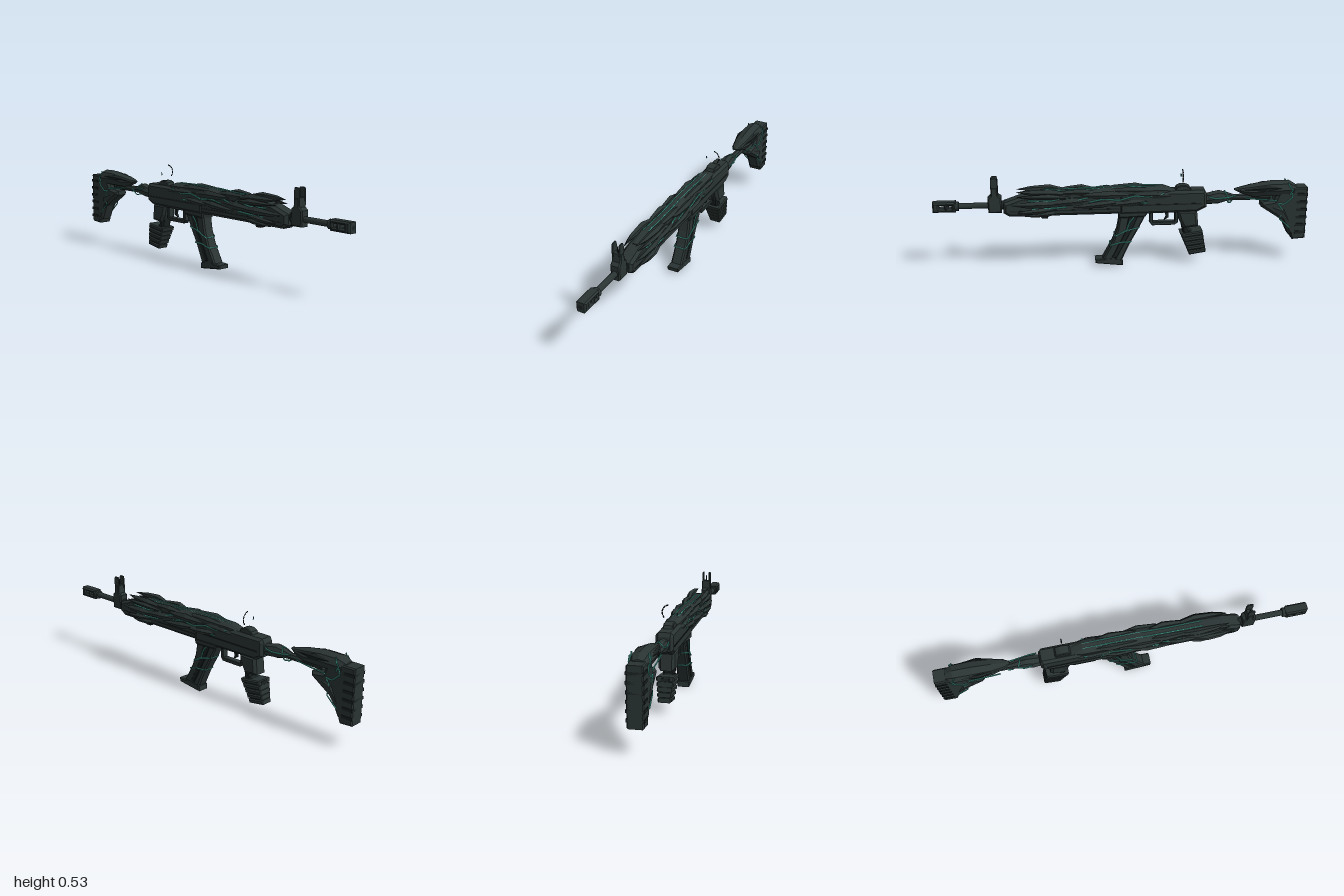
import * as THREE from 'three';

const mat = (name, color) => Object.assign(new THREE.MeshStandardMaterial({ color }), { name });

export function createModel() {
  const root = new THREE.Group();
  root.name = 'rifle';
  const body = mat('dark green grey', 0x2a3433);
  const dark = mat('near black', 0x1a2121);
  const teal = mat('glowing teal', 0x46a595);

  const add = (name, geo, m, x = 0, y = 0, z = 0) => {
    const mesh = new THREE.Mesh(geo, m);
    mesh.name = name;
    mesh.position.set(x, y, z);
    root.add(mesh);
    return mesh;
  };
  const box = (name, m, x0, x1, y0, y1, z0, z1) =>
    add(name, new THREE.BoxGeometry(x1 - x0, y1 - y0, z1 - z0), m, (x0 + x1) / 2, (y0 + y1) / 2, (z0 + z1) / 2);

  // side outline extruded across z, with chamfered edges
  const plate = (name, m, pts, halfZ, bevel = 0.008, holes = [], z = 0) => {
    const toV = p => new THREE.Vector2(p[0], p[1]);
    const shape = new THREE.Shape(pts.map(toV));
    holes.forEach(h => shape.holes.push(new THREE.Path(h.map(toV))));
    const geo = new THREE.ExtrudeGeometry(shape, {
      depth: 2 * (halfZ - bevel), bevelEnabled: true, bevelThickness: bevel,
      bevelSize: bevel, bevelOffset: -bevel, bevelSegments: 1,
    });
    return add(name, geo.translate(0, 0, bevel - halfZ), m, 0, 0, z);
  };

  // faceted loft along +x through sections [x, y, z, halfHeight, halfWidth]
  const loft = (name, m, secs, n = 6, turn = 0) => {
    const pos = [], idx = [];
    for (const [x, y, z, h, w] of secs)
      for (let k = 0; k < n; k++) {
        const a = (k / n) * Math.PI * 2 + turn;
        pos.push(x, y + h * Math.cos(a), z + w * Math.sin(a));
      }
    for (let i = 0; i < secs.length - 1; i++)
      for (let k = 0; k < n; k++) {
        const a = i * n + k, c = i * n + (k + 1) % n;
        idx.push(a, c, a + n, a + n, c, c + n);
      }
    const last = (secs.length - 1) * n;
    for (let k = 1; k < n - 1; k++) idx.push(0, k + 1, k, last, last + k, last + k + 1);
    let geo = new THREE.BufferGeometry();
    geo.setAttribute('position', new THREE.Float32BufferAttribute(pos, 3));
    geo.setIndex(idx);
    geo = geo.toNonIndexed();
    geo.computeVertexNormals();
    return add(name, geo, m);
  };

  // thin jagged glowing crack
  const vein = (pts, r = 0.004) => {
    const path = new THREE.CurvePath();
    const v = pts.map(p => new THREE.Vector3(...p));
    for (let i = 1; i < v.length; i++) path.add(new THREE.LineCurve3(v[i - 1], v[i]));
    add('glowVein', new THREE.TubeGeometry(path, v.length * 4, r, 4), teal);
  };
  const sideVeins = (pts, z) => [1, -1].forEach(s => vein(pts.map(([x, y]) => [x, y, s * z])));

  // leaf-shaped armour shard, mirrored to both sides
  const shard = (x0, y0, x1, y1, z, h, w) => [1, -1].forEach(s => {
    const mx = x0 + (x1 - x0) * 0.4, my = (y0 + y1) / 2 + 0.006;
    loft('armourShard', body, [
      [x0, y0, s * (z - 0.012), h * 0.35, w * 0.4], [mx, my, s * z, h, w],
      [x0 + (x1 - x0) * 0.75, my * 0.4 + y1 * 0.6, s * (z - 0.003), h * 0.65, w * 0.7],
      [x1, y1, s * (z - 0.012), 0.001, 0.001]], 5, s * 0.3);
  });

  // stock
  plate('buttPlate', body, [[-1, 0.13], [-0.93, 0.125], [-0.92, 0.15], [-0.92, 0.42], [-1, 0.42]], 0.04, 0.006);
  for (let i = 0; i < 6; i++) box('buttRib', dark, -1, -0.94, 0.16 + i * 0.043, 0.175 + i * 0.043, -0.043, 0.043);
  plate('stockLower', body, [[-0.94, 0.15], [-0.91, 0.15], [-0.87, 0.235], [-0.75, 0.315], [-0.75, 0.34],
    [-0.82, 0.35], [-0.84, 0.4], [-0.94, 0.41]], 0.04, 0.014);
  loft('stockShell', body, [[-0.94, 0.405, 0, 0.025, 0.035], [-0.9, 0.41, 0, 0.045, 0.05], [-0.8, 0.41, 0, 0.045, 0.052],
    [-0.7, 0.402, 0, 0.037, 0.045], [-0.64, 0.405, 0, 0.018, 0.03], [-0.605, 0.41, 0, 0.004, 0.01]], 8);
  [1, -1].forEach(s => {
    loft('stockScale', dark, [[-0.86, 0.42, s * 0.04, 0.006, 0.006], [-0.77, 0.42, s * 0.044, 0.018, 0.012],
      [-0.63, 0.408, s * 0.022, 0.003, 0.003]], 5);
    loft('stockScale', body, [[-0.91, 0.21, s * 0.03, 0.03, 0.01], [-0.87, 0.28, s * 0.036, 0.035, 0.014],
      [-0.77, 0.325, s * 0.03, 0.004, 0.004]], 5);
  });
  sideVeins([[-0.89, 0.45], [-0.92, 0.37], [-0.875, 0.33], [-0.84, 0.335], [-0.87, 0.29], [-0.85, 0.25], [-0.91, 0.195]], 0.041);
  sideVeins([[-0.895, 0.435], [-0.915, 0.41], [-0.9, 0.385]], 0.048);
  sideVeins([[-0.875, 0.33], [-0.82, 0.352], [-0.75, 0.358], [-0.66, 0.37]], 0.036);

  // neck between stock and receiver
  loft('bufferTube', body, [[-0.8, 0.365, 0, 0.018, 0.02], [-0.6, 0.365, 0, 0.018, 0.02], [-0.57, 0.37, 0, 0.024, 0.026],
    [-0.52, 0.37, 0, 0.038, 0.032], [-0.48, 0.365, 0, 0.035, 0.036], [-0.44, 0.36, 0, 0.03, 0.03]], 8);
  vein([[-0.62, 0.37, 0.022], [-0.6, 0.355, 0.02], [-0.59, 0.335, 0.008], [-0.57, 0.34, -0.016], [-0.56, 0.39, -0.022],
    [-0.55, 0.404, 0], [-0.565, 0.38, 0.026], [-0.53, 0.375, 0.034], [-0.49, 0.39, 0.034]]);
  vein([[-0.61, 0.38, -0.018], [-0.57, 0.372, -0.026], [-0.5, 0.37, -0.036], [-0.46, 0.38, -0.034]]);

  // receiver and handguard
  plate('receiver', body, [[-0.45, 0.325], [-0.4, 0.3], [0.02, 0.295], [0.02, 0.42], [-0.44, 0.42], [-0.45, 0.4]], 0.045, 0.014);
  box('receiverRail', dark, -0.42, 0.02, 0.345, 0.352, -0.047, 0.047);
  plate('handguard', body, [[0, 0.3], [0.6, 0.3], [0.63, 0.32], [0.63, 0.375], [0.53, 0.41], [0, 0.415]], 0.043, 0.014);
  box('handguardSeam', dark, 0.02, 0.6, 0.328, 0.334, -0.0445, 0.0445);
  plate('lowerNub', dark, [[0.39, 0.305], [0.45, 0.305], [0.43, 0.28], [0.4, 0.28]], 0.02, 0.004);
  loft('topCover', body, [[-0.28, 0.41, 0, 0.012, 0.03], [-0.22, 0.415, 0, 0.03, 0.043], [0.08, 0.415, 0, 0.031, 0.048],
    [0.2, 0.405, 0, 0.03, 0.045], [0.42, 0.405, 0, 0.03, 0.045], [0.52, 0.4, 0, 0.015, 0.03]], 8, Math.PI / 8);

  // layered shards sweeping forward
  [[-0.3, 0.39, -0.02, 0.405, 0.044, 0.02, 0.014], [-0.2, 0.42, 0.12, 0.43, 0.032, 0.02, 0.018],
    [-0.15, 0.37, 0.12, 0.35, 0.048, 0.016, 0.014], [-0.03, 0.405, 0.24, 0.41, 0.05, 0.024, 0.016],
    [0.0, 0.37, 0.28, 0.345, 0.05, 0.02, 0.016], [0.12, 0.42, 0.36, 0.425, 0.036, 0.02, 0.018],
    [0.18, 0.38, 0.44, 0.365, 0.048, 0.022, 0.016], [0.27, 0.415, 0.56, 0.432, 0.04, 0.022, 0.018],
    [0.28, 0.4, 0.56, 0.41, 0.053, 0.016, 0.015], [0.32, 0.365, 0.6, 0.365, 0.052, 0.022, 0.017],
    [0.36, 0.335, 0.57, 0.32, 0.05, 0.016, 0.014], [0.33, 0.315, 0.52, 0.3, 0.045, 0.014, 0.012],
  ].forEach(a => shard(...a));

  // cracks over the receiver
  sideVeins([[-0.22, 0.412], [-0.14, 0.395], [-0.06, 0.402], [0.02, 0.38], [0.1, 0.39], [0.18, 0.375]], 0.049);
  sideVeins([[-0.13, 0.36], [-0.08, 0.366], [-0.03, 0.356]], 0.046);
  sideVeins([[0.18, 0.4], [0.25, 0.385], [0.31, 0.402], [0.38, 0.385], [0.5, 0.39]], 0.046);
  sideVeins([[0.3, 0.35], [0.38, 0.345], [0.48, 0.342]], 0.045);
  sideVeins([[-0.22, 0.44], [-0.1, 0.443], [0, 0.442], [0.1, 0.441], [0.24, 0.432], [0.42, 0.432]], 0.014);

  // pistol grip with stacked ribs
  plate('gripTop', body, [[-0.4, 0.31], [-0.29, 0.31], [-0.305, 0.25], [-0.33, 0.205], [-0.41, 0.215]], 0.042, 0.014);
  plate('gripCore', dark, [[-0.35, 0.24], [-0.315, 0.24], [-0.33, 0.17], [-0.365, 0.07], [-0.44, 0.075], [-0.435, 0.185], [-0.345, 0.185]], 0.032, 0.01);
  for (let i = 0; i < 5; i++) {
    const y = 0.188 - i * 0.026, x = -0.312 - i * 0.011, b = -0.432 - i * 0.005;
    plate('gripRib', body, [[b, y + 0.004], [x, y - 0.012], [x - 0.008, y - 0.034], [b - 0.003, y - 0.02]], 0.047 - i * 0.003, 0.006);
  }

  // trigger and guard
  plate('triggerGuard', body, [[-0.3, 0.305], [-0.3, 0.235], [-0.28, 0.222], [-0.16, 0.222], [-0.145, 0.24], [-0.145, 0.305]],
    0.018, 0.003, [[[-0.282, 0.295], [-0.165, 0.295], [-0.165, 0.242], [-0.282, 0.242]]]);
  plate('trigger', dark, [[-0.25, 0.3], [-0.225, 0.3], [-0.235, 0.268], [-0.225, 0.248], [-0.25, 0.262]], 0.008, 0.002);

  // curved magazine
  plate('magazineWell', body, [[-0.14, 0.31], [0.03, 0.31], [0.02, 0.275], [-0.12, 0.28]], 0.042, 0.008);
  plate('magazine', body, [[-0.13, 0.3], [0.015, 0.3], [0.03, 0.21], [0.055, 0.14], [0.115, 0.03], [0.01, 0.02],
    [-0.04, 0.13], [-0.085, 0.21]], 0.033, 0.008);
  plate('magazinePanel', dark, [[-0.08, 0.28], [-0.03, 0.28], [-0.015, 0.2], [0.06, 0.05], [0.035, 0.045], [-0.045, 0.2]], 0.036, 0.003);
  plate('magazineBase', body, [[0, 0], [0.148, 0.018], [0.15, 0.04], [0.1, 0.042], [0.085, 0.05], [0.015, 0.04], [0, 0.03]], 0.034, 0.005);
  [[-0.09, 0.22, 0.043, 0.172], [-0.045, 0.138, 0.067, 0.12]].forEach(([a, ya, b, yb]) => {
    const m = (a + b) / 2, ym = (ya + yb) / 2 + 0.008;
    vein([[a, ya, -0.034], [a, ya, 0.034], [m, ym, 0.036], [b, yb, 0.034], [b, yb, -0.034], [m, ym, -0.036], [a, ya, -0.034]]);
  });
  sideVeins([[-0.06, 0.28], [-0.035, 0.25], [-0.02, 0.205], [0.01, 0.19]], 0.037);

  // broken ring rear sight
  plate('rearSightBase', body, [[-0.37, 0.415], [-0.28, 0.415], [-0.29, 0.437], [-0.31, 0.445], [-0.34, 0.445], [-0.36, 0.435]], 0.026, 0.004);
  [[1.75, 0.4], [2.2, 0.36], [2.62, 0.4], [3.08, 0.4], [3.54, 0.35], [5.9, 0.4], [-0.28 + Math.PI * 2, 0.3]].forEach(([a, len], i) => {
    const arc = add('sightRingPiece', new THREE.TorusGeometry(0.039, 0.0035, 4, 5, len), i === 5 ? teal : dark, -0.32, 0.492, 0);
    arc.geometry.rotateZ(a).rotateY(-Math.PI / 2);
  });

  // barrel and front sight
  const tube = (name, m, r, x0, x1, n = 12) =>
    add(name, new THREE.CylinderGeometry(r, r, x1 - x0, n).rotateZ(Math.PI / 2), m, (x0 + x1) / 2, 0.357);
  tube('barrel', body, 0.016, 0.58, 0.9);
  tube('barrelCollar', dark, 0.024, 0.61, 0.66);
  plate('frontSightBlock', body, [[0.64, 0.32], [0.71, 0.32], [0.712, 0.4], [0.695, 0.415], [0.692, 0.46], [0.66, 0.46],
    [0.656, 0.415], [0.64, 0.405]], 0.026, 0.006);
  [1, -1].forEach(s => plate('frontSightEar', body, [[0.657, 0.41], [0.694, 0.41], [0.694, 0.5], [0.688, 0.51],
    [0.662, 0.51], [0.657, 0.49]], 0.004, 0.001, [], s * 0.019));
  add('frontSightPin', new THREE.CylinderGeometry(0.002, 0.004, 0.04, 6), dark, 0.676, 0.472, 0);

  // slotted muzzle
  tube('muzzleCollar', body, 0.025, 0.865, 0.89);
  const slot = (a, b) => [[a, 0.35], [b, 0.35], [b, 0.366], [a, 0.366]];
  plate('muzzleBrake', body, [[0.88, 0.33], [1, 0.33], [1, 0.384], [0.88, 0.384]], 0.027, 0.008, [slot(0.9, 0.918), slot(0.94, 0.966)]);
  add('bore', new THREE.CircleGeometry(0.012, 12).rotateY(Math.PI / 2), dark, 1.0005, 0.357, 0);
  return root;
}
